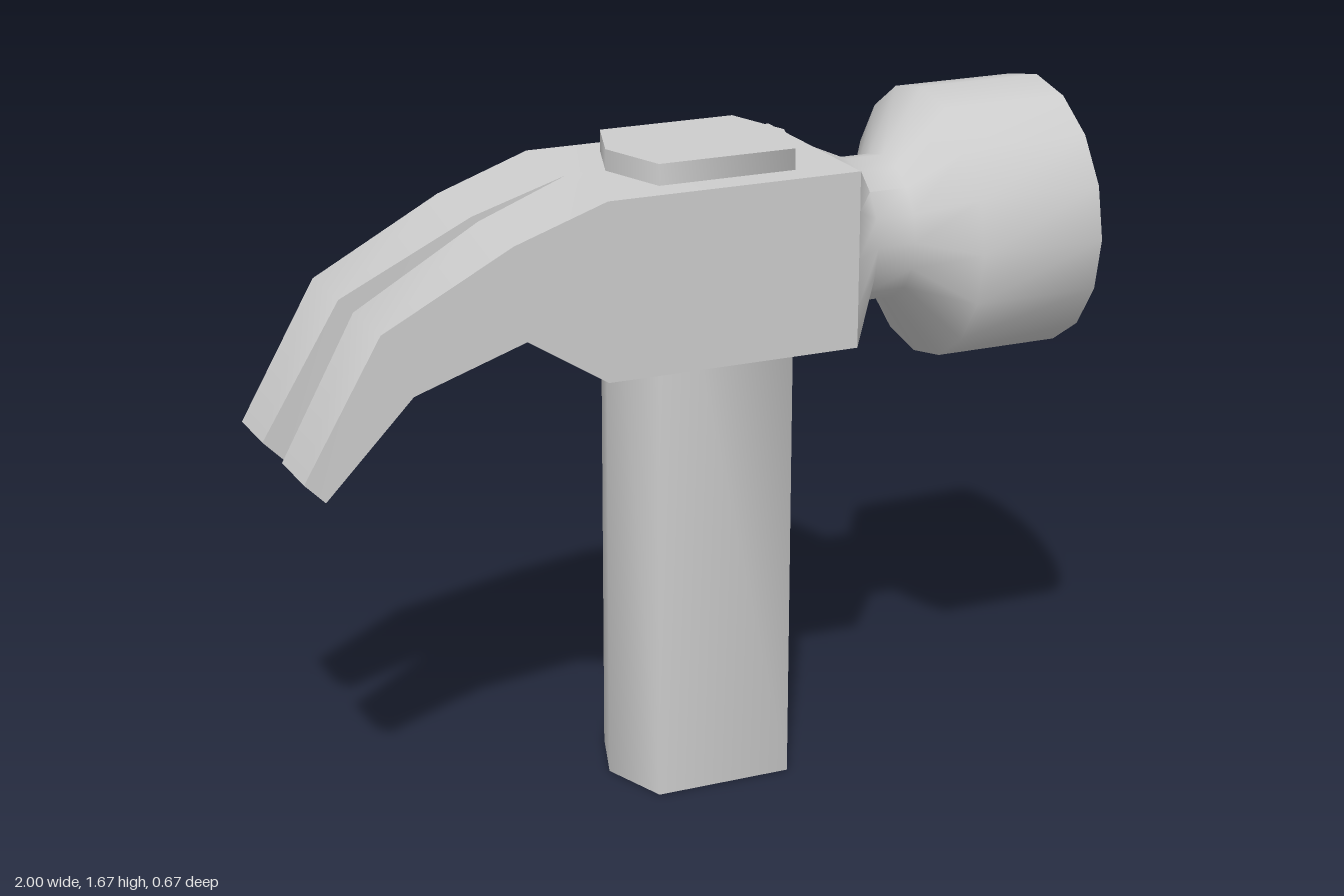
import * as THREE from 'three';
import { toCreasedNormals } from 'three/addons/utils/BufferGeometryUtils.js';

// Collects quads given as corner points and creases the normals
function surface(quads, crease) {
  const pos = [];
  for (const [a, b, c, d] of quads) pos.push(...a, ...b, ...c, ...a, ...c, ...d);
  const g = new THREE.BufferGeometry();
  g.setAttribute('position', new THREE.Float32BufferAttribute(pos, 3));
  return toCreasedNormals(g, crease);
}

// Head block flowing into the two split claws, mirrored across z
function clawGeometry() {
  // top x, top y, bottom x, bottom y, inner z, outer z
  const stations = [
    [0.385, 1.555, 0.385, 1.12, 0, 0.25],
    [-0.26, 1.555, -0.26, 1.12, 0, 0.25],
    [-0.49, 1.475, -0.46, 1.245, 0.022, 0.247],
    [-0.81, 1.305, -0.735, 1.15, 0.053, 0.242],
    [-1, 0.975, -0.95, 0.925, 0.075, 0.237],
  ];
  const quads = [];
  for (const side of [1, -1]) {
    const add = (...q) => quads.push(side > 0 ? q : q.reverse());
    const rings = stations.map(([tx, ty, bx, by, zi, zo]) => [
      [tx, ty, side * zi], [tx, ty, side * zo], [bx, by, side * zo], [bx, by, side * zi],
    ]);
    add(...rings[0]);
    for (let s = 0; s < rings.length - 1; s++) {
      const r = rings[s], n = rings[s + 1];
      for (let i = 0; i < 4; i++) {
        if (s === 0 && i === 3) continue; // the halves join here
        const j = (i + 1) % 4;
        add(r[i], n[i], n[j], r[j]);
      }
    }
    add(...[...rings[rings.length - 1]].reverse());
  }
  return surface(quads, 0.85);
}

// Neck that blends from the rectangular block to the round striking face
function strikerGeometry() {
  const sides = 16, cy = 1.3375;
  const clamp = v => THREE.MathUtils.clamp(v * Math.SQRT2, -1, 1);
  const profile = [[0.385, 0], [0.475, 0.178], [0.575, 0.178], [0.675, 0.337], [1, 0.337]];
  const rings = profile.map(([x, r], k) => Array.from({ length: sides }, (_, i) => {
    const a = i / sides * Math.PI * 2, c = Math.cos(a), s = Math.sin(a);
    return k === 0 ? [x, cy + clamp(s) * 0.2175, clamp(c) * 0.25] : [x, cy + s * r, c * r];
  }));
  const quads = [];
  for (let k = 0; k < rings.length - 1; k++) {
    for (let i = 0; i < sides; i++) {
      const j = (i + 1) % sides;
      quads.push([rings[k][i], rings[k + 1][i], rings[k + 1][j], rings[k][j]]);
    }
  }
  // flat striking face, two rim segments per quad
  const rim = rings[rings.length - 1];
  for (let i = 0; i < sides; i += 2) {
    quads.push([[1, cy, 0], rim[(i + 2) % sides], rim[i + 1], rim[i]]);
  }
  return surface(quads, 1.1);
}

// Six-sided handle that pokes through the top of the head
function handleGeometry() {
  const outline = [[-0.16, 0], [-0.1, -0.175], [0.25, -0.175], [0.305, 0], [0.25, 0.175], [-0.1, 0.175]];
  const shape = new THREE.Shape(outline.map(([x, y]) => new THREE.Vector2(x, y)));
  const g = new THREE.ExtrudeGeometry(shape, { depth: 1.607, bevelEnabled: false });
  g.rotateX(-Math.PI / 2);
  return toCreasedNormals(g, 1.35);
}

export function createModel() {
  const grey = new THREE.MeshStandardMaterial({ color: 0xcccccc });
  grey.name = 'light grey';
  const group = new THREE.Group();
  group.name = 'hammer';
  const parts = { handle: handleGeometry(), clawHead: clawGeometry(), strikingFace: strikerGeometry() };
  for (const [name, geometry] of Object.entries(parts)) {
    const mesh = new THREE.Mesh(geometry, grey);
    mesh.name = name;
    group.add(mesh);
  }
  return group;
}
